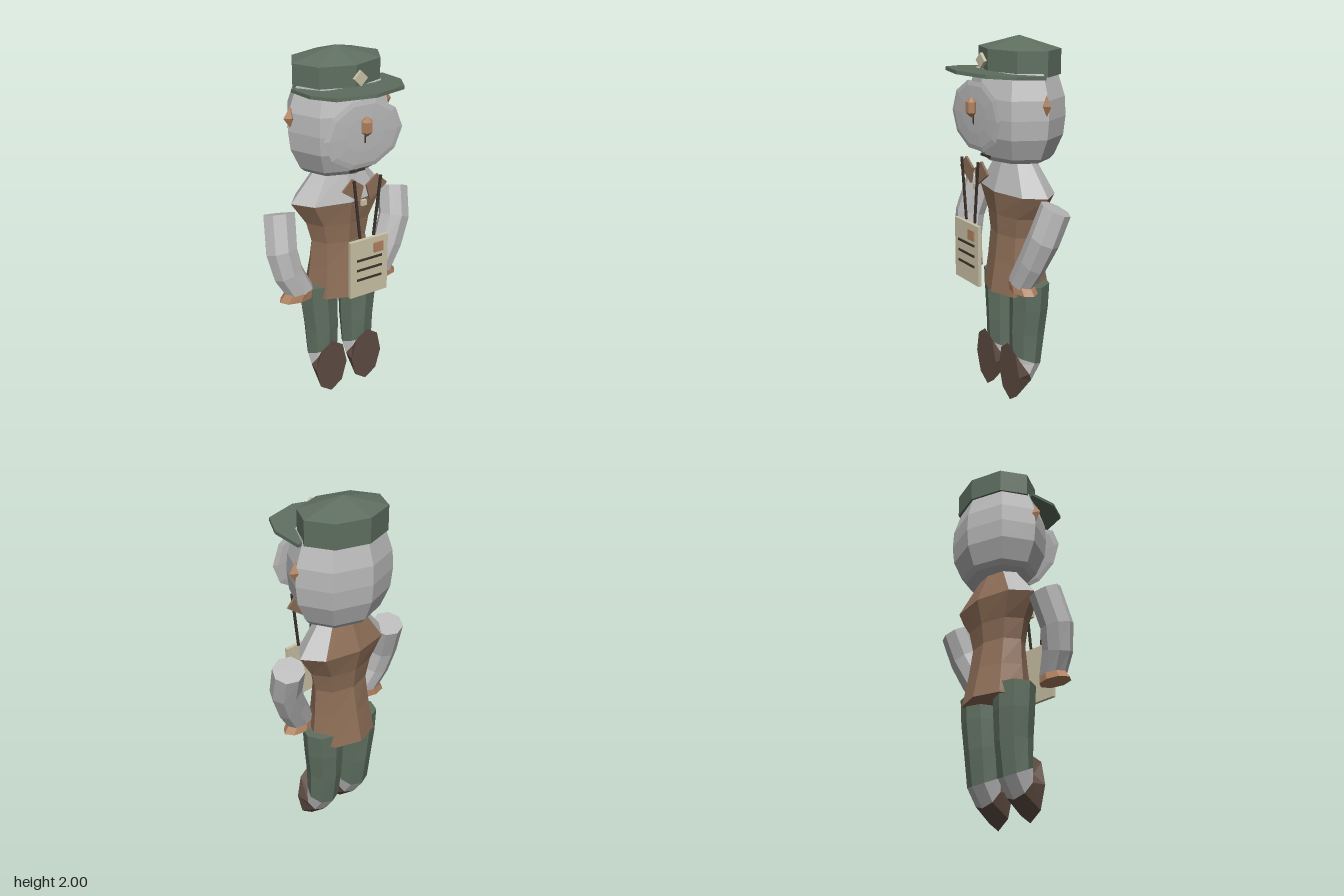
import * as THREE from 'three';

const mat = (name, color) => {
  const m = new THREE.MeshStandardMaterial({ color });
  m.name = name;
  return m;
};

const CX = 0.015; // body centre line
const N = 8;      // sides of every lofted part
const ALL = [0, 1, 2, 3, 4, 5, 6, 7];

// Octagonal ring: centre, radii, tilt about x and roll about z
function ring(x, y, z, rx, rz, tilt = 0, roll = 0) {
  const e = new THREE.Euler(tilt, 0, roll);
  const c = new THREE.Vector3(x, y, z);
  const pts = ALL.map((i) => {
    const a = (i / N) * Math.PI * 2;
    return new THREE.Vector3(rx * Math.sin(a), 0, rz * Math.cos(a)).applyEuler(e).add(c);
  });
  return { c, pts };
}

// Flat-shaded skin over rings listed from bottom to top
function loft(rings, { cols = ALL, bottom = true, top = true } = {}) {
  const pos = [];
  const tri = (...vs) => vs.forEach((v) => pos.push(v.x, v.y, v.z));
  for (let r = 0; r < rings.length - 1; r++) {
    const lo = rings[r].pts, hi = rings[r + 1].pts;
    for (const i of cols) {
      const j = (i + 1) % N;
      tri(lo[i], lo[j], hi[j]);
      tri(lo[i], hi[j], hi[i]);
    }
  }
  const first = rings[0], last = rings[rings.length - 1];
  for (const i of cols) {
    const j = (i + 1) % N;
    if (bottom) tri(first.c, first.pts[j], first.pts[i]);
    if (top) tri(last.c, last.pts[i], last.pts[j]);
  }
  const g = new THREE.BufferGeometry();
  g.setAttribute('position', new THREE.Float32BufferAttribute(pos, 3));
  g.computeVertexNormals();
  return g;
}

function flat(geo) {
  const g = geo.index ? geo.toNonIndexed() : geo;
  g.computeVertexNormals();
  return g;
}

function plate(points, depth) {
  const shape = new THREE.Shape(points.map(([x, y]) => new THREE.Vector2(x, y)));
  return new THREE.ExtrudeGeometry(shape, { depth, bevelEnabled: false });
}

export function createModel() {
  const root = new THREE.Group();
  root.name = 'capped courier figure';

  const grey = mat('pale grey', 0xb9b9b9);
  const green = mat('uniform green', 0x5f6f60);
  const brown = mat('vest brown', 0x8d6e57);
  const tan = mat('warm tan', 0xb18260);
  const shoe = mat('shoe brown', 0x5f4d43);
  const cream = mat('paper cream', 0xcbc2a6);
  const dark = mat('dark strap', 0x3d332c);

  const add = (name, geo, m, x = 0, y = 0, z = 0) => {
    const mesh = new THREE.Mesh(geo, m);
    mesh.name = name;
    mesh.position.set(x, y, z);
    root.add(mesh);
    return mesh;
  };
  const box = (name, m, w, h, d, x, y, z) => add(name, new THREE.BoxGeometry(w, h, d), m, x, y, z);

  // Head
  const headRing = (y, s) => ring(CX, y, -0.061, 0.295 * s, 0.239 * s);
  add('head', loft([
    headRing(1.365, 0.69), headRing(1.39, 0.78), headRing(1.5, 0.96),
    headRing(1.6, 1), headRing(1.7, 0.98), headRing(1.83, 0.82),
  ]), grey);

  // Face disc, nose and mouth
  const face = new THREE.SphereGeometry(1, 10, 6);
  face.rotateX(Math.PI / 2).scale(0.232, 0.185, 0.012);
  add('faceDisc', flat(face), grey, CX, 1.607, 0.187);
  const nose = new THREE.SphereGeometry(1, 6, 3);
  nose.scale(0.036, 0.054, 0.034);
  add('nose', flat(nose), tan, CX, 1.655, 0.213);
  box('noseLine', dark, 0.006, 0.05, 0.006, CX, 1.59, 0.2);
  box('mouth', dark, 0.09, 0.012, 0.009, CX, 1.392, 0.128);

  // Ears
  for (const s of [-1, 1]) {
    const ear = new THREE.OctahedronGeometry(1);
    ear.scale(0.038, 0.057, 0.023);
    add(s > 0 ? 'leftEar' : 'rightEar', flat(ear), tan, CX + s * 0.286, 1.675, -0.052);
  }

  // Cap: crown, visor and badge
  add('capCrown', loft([
    ring(CX, 1.81, -0.081, 0.253, 0.193),
    ring(CX, 1.94, -0.081, 0.253, 0.193),
    ring(CX, 2.0, -0.081, 0.0001, 0.0001),
  ]), green);
  const visorHalf = [[0, 0.3], [0.195, 0.247], [0.266, 0.117], [0.272, -0.06]];
  const visor = plate([
    ...visorHalf, ...visorHalf.slice(1).reverse().map(([x, z]) => [-x, z]),
  ], 0.018);
  visor.rotateX(Math.PI / 2);
  add('capVisor', visor, green, CX, 1.823, 0).rotation.x = -0.075;
  box('capBadge', cream, 0.056, 0.056, 0.018, CX, 1.885, 0.15).rotation.z = Math.PI / 4;

  // Vest and shoulders
  const shoulder = ring(CX, 1.19, -0.07, 0.285, 0.147);
  const neck = ring(CX, 1.37, -0.06, 0.135, 0.082);
  add('vest', loft([
    ring(CX, 0.625, -0.068, 0.205, 0.168),
    ring(CX, 0.8, -0.062, 0.182, 0.135),
    ring(CX, 0.95, -0.058, 0.172, 0.112),
    ring(CX, 1.06, -0.062, 0.2, 0.122),
    shoulder,
  ]), brown);
  add('shirtShoulders', loft([shoulder, neck], { cols: [5, 6, 7, 0, 1, 2], bottom: false }), grey);
  add('vestBackYoke', loft([shoulder, neck], { cols: [3, 4], bottom: false }), brown);

  // Collar flaps and neck straps
  for (const s of [-1, 1]) {
    const side = s > 0 ? 'left' : 'right';
    const flap = [[0.075, 1.385], [0.135, 1.325], [0.03, 1.25], [0.008, 1.335]].map(([x, y]) => [s * x, y]);
    add(side + 'Collar', plate(flap, 0.012), brown, CX, 0, 0.193);
    const strap = box(side + 'Strap', dark, 0.013, 0.335, 0.01, CX + s * 0.061, 1.218, 0.225);
    strap.rotation.z = -s * 0.115;
  }
  box('button', cream, 0.032, 0.03, 0.016, CX, 1.235, 0.19);

  // Hanging letter with stamp and address lines
  box('letter', cream, 0.232, 0.33, 0.02, CX, 0.887, 0.242);
  box('stamp', tan, 0.056, 0.056, 0.009, 0.07, 0.993, 0.256);
  for (let i = 0; i < 3; i++) {
    box('addressLine' + (i + 1), dark, 0.155, 0.012, 0.006, 0.016, 0.938 - i * 0.058, 0.254);
  }

  // Arms with flared cuffs
  add('rightArm', loft([
    ring(-0.285, 0.72, 0.04, 0.078, 0.058, -0.15, 0.3),
    ring(-0.345, 0.84, 0.02, 0.086, 0.072, -0.2, 0.28),
    ring(-0.368, 0.97, -0.005, 0.09, 0.082, -0.28, 0.05),
    ring(-0.345, 1.155, -0.065, 0.09, 0.084, -0.36, -0.12),
  ]), grey);
  add('leftArm', loft([
    ring(0.21, 0.72, 0.04, 0.08, 0.058, -0.15, -0.45),
    ring(0.29, 0.86, 0.018, 0.088, 0.072, -0.2, -0.48),
    ring(0.35, 1.0, -0.01, 0.09, 0.082, -0.28, -0.34),
    ring(0.373, 1.157, -0.065, 0.086, 0.084, -0.36, -0.24),
  ]), grey);
  for (const [side, x, top] of [['right', -0.31, -0.292], ['left', 0.232, 0.215]]) {
    add(side + 'Cuff', loft([
      ring(x, 0.685, 0.034, 0.1, 0.062),
      ring(top, 0.732, 0.038, 0.082, 0.058),
    ]), tan);
  }

  // Legs and down-pointed feet
  for (const s of [-1, 1]) {
    const side = s > 0 ? 'left' : 'right';
    const fx = CX + s * 0.117;
    const sole = ring(fx, 0.177, 0.058, 0.1, 0.176, -1.53);
    const heel = ring(fx, 0.175, -0.018, 0.09, 0.087, -1.05);
    const ankle = ring(fx, 0.235, -0.05, 0.094, 0.088, -0.41);
    add(side + 'Shoe', loft([sole, heel], { top: false }), shoe);
    add(side + 'Foot', loft([heel, ankle], { bottom: false, top: false }), grey);
    add(side + 'Trouser', loft([
      ankle,
      ring(fx, 0.4, -0.06, 0.1, 0.098, -0.1),
      ring(CX + s * 0.125, 0.55, -0.066, 0.11, 0.104),
      ring(CX + s * 0.13, 0.69, -0.066, 0.114, 0.107),
    ], { bottom: false }), green);
  }

  return root;
}
